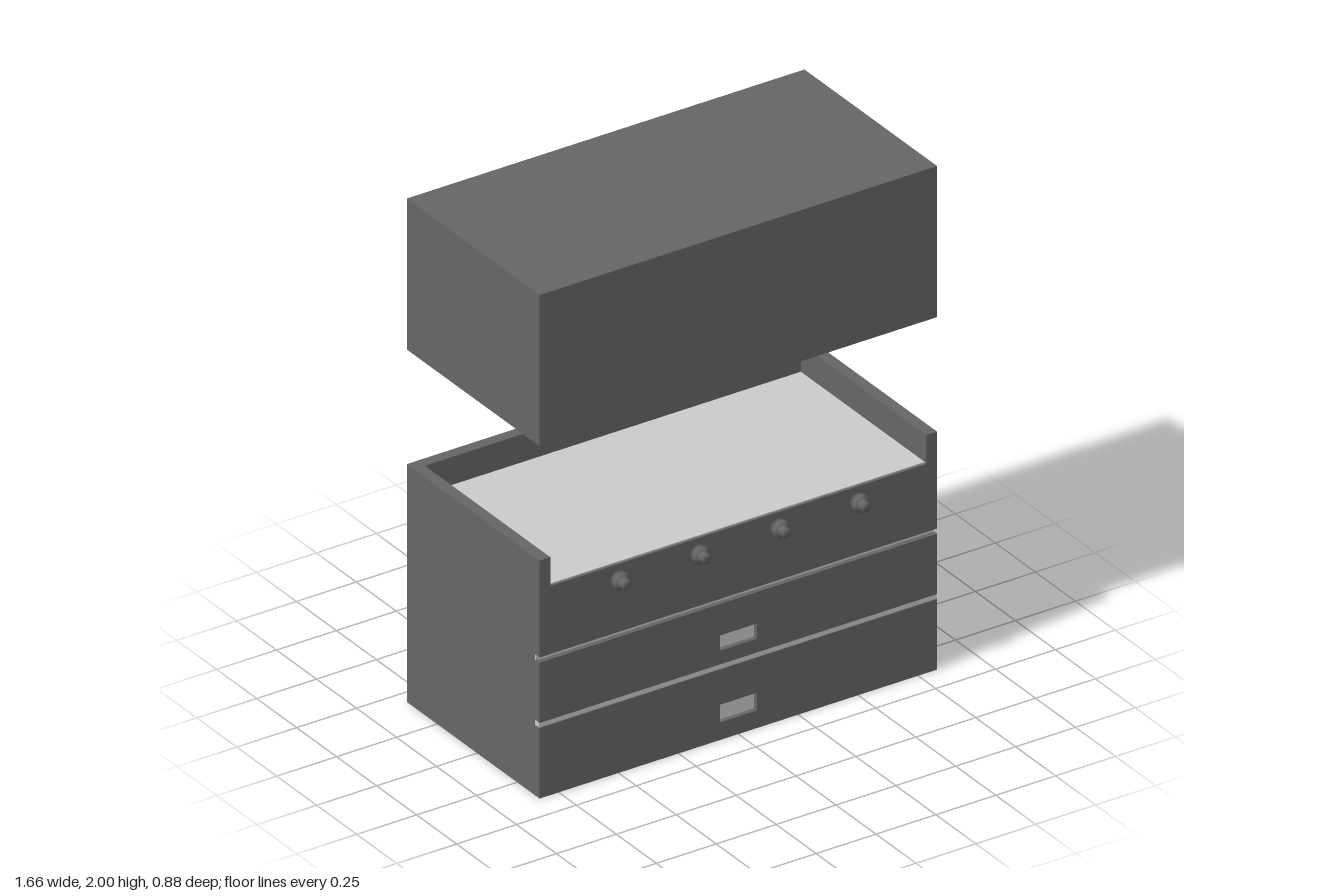
import * as THREE from 'three';

const dark = new THREE.MeshStandardMaterial({ color: 0x666666 });
const light = new THREE.MeshStandardMaterial({ color: 0xcccccc });

const W = 0.83, BACK = -0.44, FRONT = 0.39, T = 0.045;

export function createModel() {
  const model = new THREE.Group();
  const cooker = new THREE.Group();
  cooker.name = 'cooker';
  const hood = new THREE.Group();
  hood.name = 'hood';
  model.add(cooker, hood);

  // Box given by its limits on each axis
  function box(parent, name, x0, x1, y0, y1, z0, z1, material = dark) {
    const mesh = new THREE.Mesh(new THREE.BoxGeometry(x1 - x0, y1 - y0, z1 - z0), material);
    mesh.position.set((x0 + x1) / 2, (y0 + y1) / 2, (z0 + z1) / 2);
    mesh.name = name;
    parent.add(mesh);
  }

  // Front panel, optionally with a rectangular finger hole
  const panelZ = 0.37;
  function frontPanel(name, y0, y1, hole) {
    const rect = (path, x, a, b) => path.moveTo(-x, a).lineTo(x, a).lineTo(x, b).lineTo(-x, b).closePath();
    const shape = rect(new THREE.Shape(), W, y0, y1);
    if (hole) {
      shape.holes.push(rect(new THREE.Path(), 0.077, hole[0], hole[1]));
      box(cooker, 'handleRecess', -0.077, 0.077, hole[0], hole[1], panelZ - 0.01, panelZ + 0.002, light);
    }
    const geometry = new THREE.ExtrudeGeometry(shape, { depth: FRONT - panelZ, bevelEnabled: false });
    const mesh = new THREE.Mesh(geometry, dark);
    mesh.position.z = panelZ;
    mesh.name = name;
    cooker.add(mesh);
  }

  // Cabinet, drawers and the light gaps between them
  box(cooker, 'cabinet', -W, W, 0, 0.83, BACK, panelZ);
  frontPanel('lowerDrawer', 0, 0.28, [0.07, 0.14]);
  frontPanel('upperDrawer', 0.3, 0.54, [0.355, 0.415]);
  frontPanel('controlPanel', 0.56, 0.83);
  box(cooker, 'upperGap', -W, W, 0.54, 0.56, panelZ - 0.01, panelZ + 0.001, light);
  box(cooker, 'lowerGap', -W, W, 0.28, 0.3, panelZ - 0.01, FRONT - 0.004, light);

  // Cooking surface with raised walls on three sides
  box(cooker, 'cookingPlate', -W + T, W - T, 0.82, 0.834, BACK + T, 0.38, light);
  box(cooker, 'backWall', -W + T, W - T, 0.83, 0.945, BACK, BACK + T);
  for (const s of [-1, 1]) {
    const x = s * (W - T / 2);
    box(cooker, 'sideWall', x - T / 2, x + T / 2, 0.83, 0.945, BACK, FRONT);
  }

  // Knobs
  const profile = [[0, 0], [0.034, 0], [0.034, 0.022], [0.026, 0.03], [0.02, 0.03], [0.02, 0.053], [0, 0.053]]
    .map(([r, h]) => new THREE.Vector2(r, h));
  const knobGeometry = new THREE.LatheGeometry(profile, 20).rotateX(Math.PI / 2);
  for (const x of [-0.5, -0.167, 0.167, 0.5]) {
    const knob = new THREE.Mesh(knobGeometry, dark);
    knob.position.set(x, 0.77, FRONT);
    knob.name = 'knob';
    cooker.add(knob);
  }

  // Hood with a skirt on the front and sides
  const ceiling = 1.515;
  box(hood, 'hoodBody', -W, W, ceiling, 2, BACK, FRONT);
  box(hood, 'hoodFrontSkirt', -W + T, W - T, 1.4, ceiling, FRONT - T, FRONT);
  for (const s of [-1, 1]) {
    const x = s * (W - T / 2);
    box(hood, 'hoodSideSkirt', x - T / 2, x + T / 2, 1.4, ceiling, BACK, FRONT);
  }

  // Evenly spaced filter slats under the hood
  const cell = 2 * (W - T) / 13;
  for (let i = 0; i < 6; i++) {
    const x = -W + T + cell * (2 * i + 1);
    box(hood, 'filterSlat', x, x + cell, 1.4, ceiling, BACK + T, FRONT - T);
  }

  return model;
}
